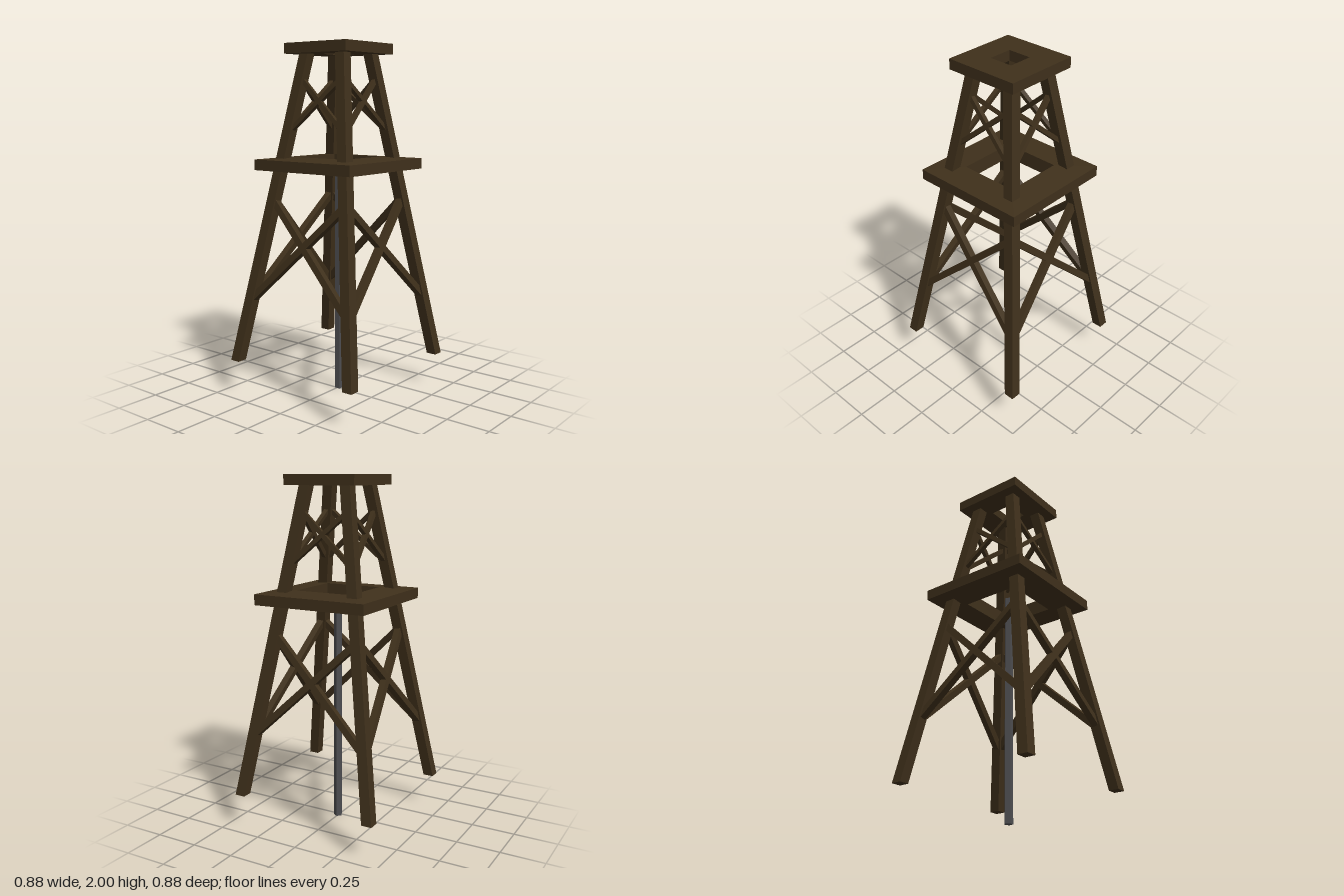
import * as THREE from 'three';

const wood = new THREE.MeshStandardMaterial({ color: 0x3f301b, flatShading: true });
const metal = new THREE.MeshStandardMaterial({ color: 0x4d4d50, flatShading: true });

// The tower narrows upward and leans very slightly to the back
const spread = (y) => 0.41 - 0.162 * (y - 0.195);
const lean = (y) => -0.002 - 0.007 * (y - 0.195);

function add(parent, name, geometry, material = wood) {
  const mesh = new THREE.Mesh(geometry, material);
  mesh.name = name;
  parent.add(mesh);
  return mesh;
}

// Square ring; inner and outer edges are given as [half width, bottom, top]
function squareRing([ri, bi, ti], [ro, bo, to]) {
  const k = Math.SQRT2;
  const profile = [[ri, bi], [ro, bo], [ro, to], [ri, ti], [ri, bi]]
    .map(([r, y]) => new THREE.Vector2(r * k, y));
  return new THREE.LatheGeometry(profile, 4, Math.PI / 4);
}

// Square post sheared along the slope of the tower
function legGeometry(sx, sz, y0, y1, width) {
  const g = new THREE.BoxGeometry(width, y1 - y0, width);
  g.translate(0, (y0 + y1) / 2, 0);
  const p = g.attributes.position;
  for (let i = 0; i < p.count; i++) {
    const y = p.getY(i);
    p.setX(i, p.getX(i) + sx * spread(y));
    p.setZ(i, p.getZ(i) + sz * spread(y) + lean(y));
  }
  g.computeVertexNormals();
  return g;
}

// Square bar between two points, with one face turned toward the given normal
function barBetween(parent, name, a, b, width, normal) {
  const bar = add(parent, name, new THREE.BoxGeometry(width, width, a.distanceTo(b)));
  bar.position.copy(a).add(b).multiplyScalar(0.5);
  bar.up.copy(normal);
  bar.lookAt(b);
}

export function createModel() {
  const tower = new THREE.Group();
  tower.name = 'tower';

  // Four splayed legs
  for (const sx of [-1, 1]) for (const sz of [-1, 1]) {
    const name = (sz > 0 ? 'front' : 'back') + (sx > 0 ? 'Left' : 'Right') + 'Leg';
    add(tower, name, legGeometry(sx, sz, 0.195, 1.95, 0.06));
  }

  // Crossed braces on all four sides, in two tiers
  const yAxis = new THREE.Vector3(0, 1, 0);
  const tiers = [
    { name: 'lowerBrace', bottom: 0.55, top: 1.13, width: 0.038 },
    { name: 'upperBrace', bottom: 1.51, top: 1.81, width: 0.025 },
  ];
  for (const { name, bottom, top, width } of tiers) {
    for (let side = 0; side < 4; side++) {
      const angle = side * Math.PI / 2;
      const normal = new THREE.Vector3(0, 0.16, 1).normalize().applyAxisAngle(yAxis, angle);
      const corner = (s, y) => {
        const v = new THREE.Vector3(s * spread(y), y, spread(y)).applyAxisAngle(yAxis, angle);
        v.z += lean(y);
        return v;
      };
      for (const s of [-1, 1]) {
        barBetween(tower, name, corner(s, bottom), corner(-s, top), width, normal);
      }
    }
  }

  // Platforms with square openings
  add(tower, 'middlePlatform', squareRing([0.17, 1.284, 1.37], [0.338, 1.298, 1.358])).position.z = -0.015;
  add(tower, 'topPlatform', squareRing([0.069, 1.942, 2], [0.216, 1.942, 2])).position.z = -0.015;

  // Five-sided central pipe
  const pipe = add(tower, 'centralPipe', new THREE.CylinderGeometry(0.025, 0.025, 1.335, 5), metal);
  pipe.position.set(0.002, 1.335 / 2, -0.014);
  pipe.rotation.y = Math.PI + 0.1;

  return tower;
}
